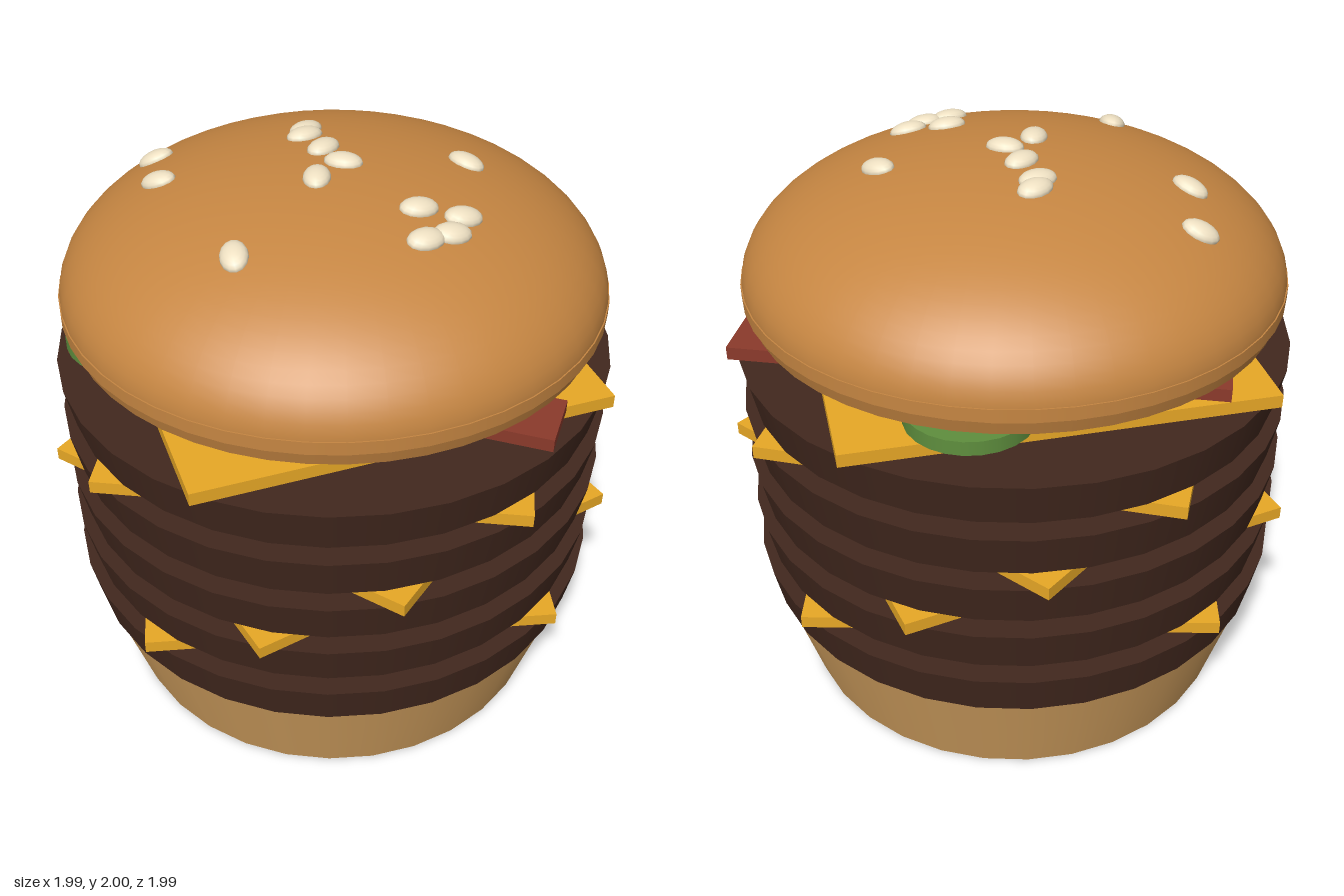
import * as THREE from 'three';

const mat = (color) => new THREE.MeshStandardMaterial({ color });

export function createModel() {
  const burger = new THREE.Group();
  const bunMat = mat(0xc68642), heelMat = mat(0xd2a05f), pattyMat = mat(0x42281e);
  const cheeseMat = mat(0xe8a826), baconMat = mat(0x8b3a2b), pickleMat = mat(0x5f8f3e), seedMat = mat(0xeee0c2);

  const add = (name, geometry, material, x, y, z, turn = 0) => {
    const mesh = new THREE.Mesh(geometry, material);
    mesh.name = name;
    mesh.position.set(x, y, z);
    mesh.rotation.y = turn;
    burger.add(mesh);
    return mesh;
  };

  // Bottom bun
  add('bottomBun', new THREE.CylinderGeometry(0.91, 0.8, 0.38, 32), heelMat, 0, 0.19, 0);

  // Alternating patties and square cheese slices; each slice is turned so a corner points at [x, z]
  const pattyGeo = new THREE.CylinderGeometry(0.95, 0.92, 0.15, 32);
  const cheeseGeo = new THREE.BoxGeometry(1.407, 0.045, 1.407);
  const corners = [[-0.455, 0.885], [-0.02, 0.995], [0.42, 0.9], [-0.63, 0.775], [-0.22, 0.97]];
  corners.forEach(([cx, cz], i) => {
    const y = 0.38 + i * 0.196;
    add('patty', pattyGeo, pattyMat, 0, y + 0.075, 0);
    add('cheeseSlice', cheeseGeo, cheeseMat, 0, y + 0.1725, 0, Math.atan2(cx, cz) - Math.PI / 4);
  });

  // Bacon strips
  const baconGeo = new THREE.BoxGeometry(1.635, 0.045, 0.21);
  [[-0.355, 10], [0.005, 0], [0.36, -6]].forEach(([z, deg]) =>
    add('baconStrip', baconGeo, baconMat, 0, 1.384, z, THREE.MathUtils.degToRad(deg)));

  // Pickle slices
  const pickleGeo = new THREE.CylinderGeometry(0.205, 0.205, 0.048, 24);
  [[-0.625, 0.325], [0.15, 0.515], [-0.44, -0.275], [-0.11, -0.725]].forEach(([x, z]) =>
    add('pickleSlice', pickleGeo, pickleMat, x, 1.439, z));

  // Top bun: flared base, thin rim and flattened dome
  const R = 0.912, H = 0.42, base = 1.55;
  add('topBunBase', new THREE.CylinderGeometry(0.915, 0.89, 0.09, 48), bunMat, 0, 1.51, 0);
  add('topBunRim', new THREE.CylinderGeometry(0.915, 0.915, 0.045, 48), bunMat, 0, 1.542, 0);
  const dome = new THREE.SphereGeometry(1, 48, 20, 0, Math.PI * 2, 0, Math.PI / 2);
  dome.scale(R, H, R);
  add('topBunDome', dome, bunMat, 0, base, 0);

  // Sesame seeds lying on the dome: x, z, heading in degrees
  const seedGeo = new THREE.SphereGeometry(1, 14, 10);
  seedGeo.scale(0.064, 0.03, 0.045);
  const up = new THREE.Vector3(0, 1, 0);
  [
    [-0.15, -0.24, 60], [-0.14, -0.185, 45], [-0.055, -0.09, 65], [0.03, -0.005, 0], [-0.03, 0.11, -80],
    [-0.65, -0.14, 10], [-0.565, 0.08, -10], [0.4, -0.185, -20], [0.305, 0.18, 30], [0.44, 0.16, 30],
    [0.42, 0.255, 30], [0.35, 0.315, 40], [-0.19, 0.5, -70],
  ].forEach(([x, z, deg]) => {
    const h = H * Math.sqrt(1 - (x * x + z * z) / (R * R));
    const normal = new THREE.Vector3(x / (R * R), h / (H * H), z / (R * R)).normalize();
    const seed = add('sesameSeed', seedGeo, seedMat, x, base + h, z);
    seed.quaternion.setFromUnitVectors(up, normal);
    seed.rotateY(THREE.MathUtils.degToRad(deg));
  });

  return burger;
}
